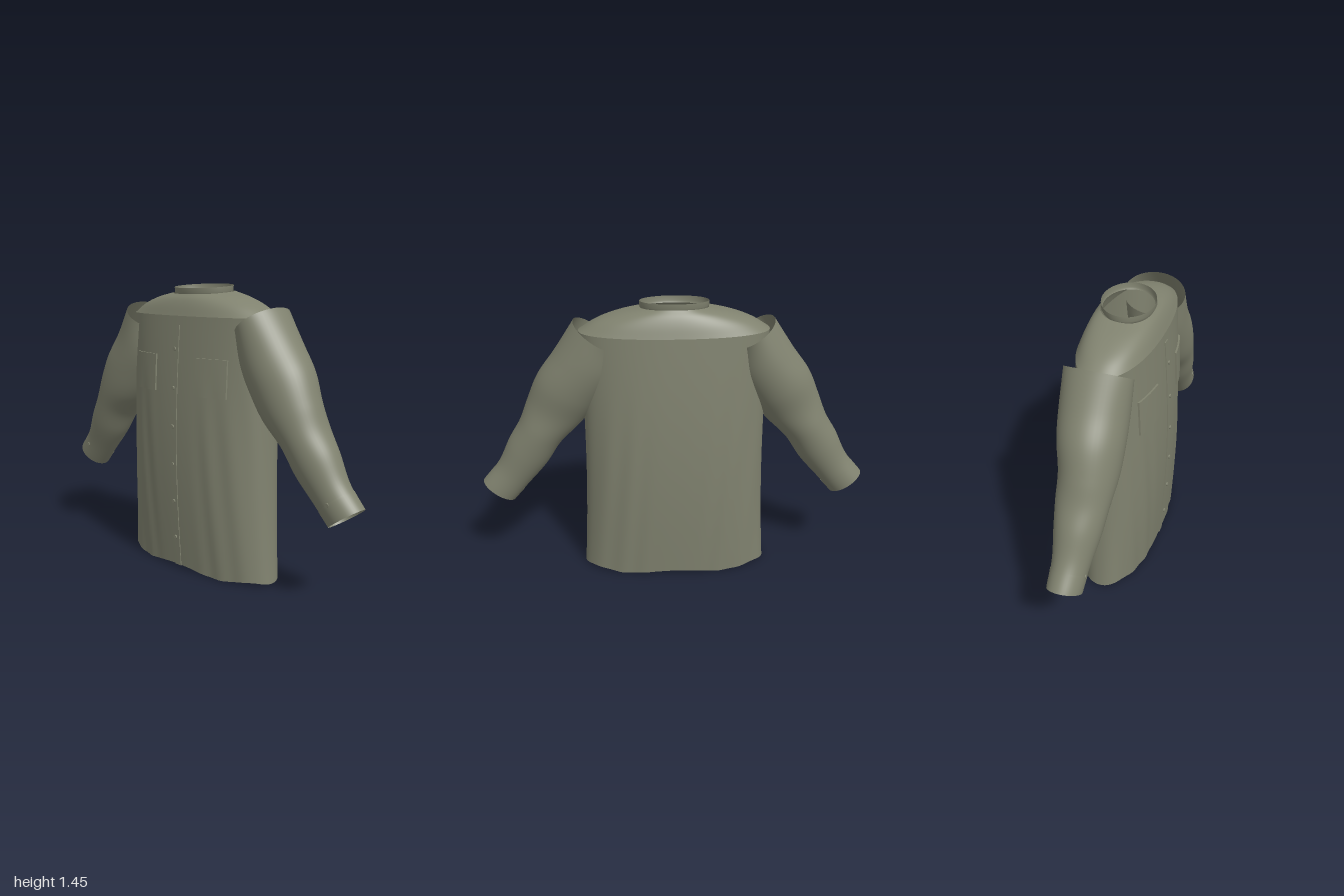
import * as THREE from 'three';

const SEAM = 1.3; // height where the yoke meets the body
const fabric = new THREE.MeshStandardMaterial({ color: 0x80826f, side: THREE.DoubleSide });
fabric.name = 'olive fabric';

// Skin closed rings of points into an open tube with smooth normals
function loft(rings, flip = false) {
  const n = rings[0].length, pos = [], idx = [];
  rings.forEach(r => r.forEach(p => pos.push(p.x, p.y, p.z)));
  for (let i = 0; i < rings.length - 1; i++) {
    for (let j = 0; j < n; j++) {
      const k = (j + 1) % n;
      const a = i * n + j, b = i * n + k, c = a + n, d = b + n;
      if (flip) idx.push(a, b, c, b, d, c);
      else idx.push(a, c, b, b, c, d);
    }
  }
  const g = new THREE.BufferGeometry();
  g.setAttribute('position', new THREE.Float32BufferAttribute(pos, 3));
  g.setIndex(idx);
  g.computeVertexNormals();
  return g;
}

function ring(n, fn) {
  return Array.from({ length: n }, (_, j) => fn((j / n) * Math.PI * 2));
}

// Body size at a given height
const bulge = y => Math.sin(Math.PI * THREE.MathUtils.clamp(y / SEAM, 0, 1));
const halfWidth = y => 0.455 + 0.03 * (1 - y / 0.8) ** 2;
const depth = (y, front) => front ? 0.175 + 0.03 * bulge(y) : 0.185 + 0.027 * bulge(y);
const POWER = 2 / 2.3;
const spow = v => Math.sign(v) * Math.abs(v) ** POWER;

// Soft hanging folds, strongest low down and away from the middle
function fold(x, y) {
  const side = THREE.MathUtils.smoothstep(Math.abs(x), 0.08, 0.25);
  const low = 1 - THREE.MathUtils.smoothstep(y, 0.6, 1.15);
  return 0.004 * side * low * Math.sin(50 * x + 5 * y);
}

// Depth of the front surface, used to lay details on it
function frontZ(x, y) {
  const u = Math.min(1, Math.abs(x) / halfWidth(y));
  return depth(y, true) * (1 - u ** 2.3) ** (1 / 2.3) + fold(x, y);
}

// Thin plate bent to follow the chest
function plate(x0, x1, y0, y1, lift) {
  const g = new THREE.BoxGeometry(x1 - x0, y1 - y0, 0.009, 8, 24, 1);
  g.translate((x0 + x1) / 2, (y0 + y1) / 2, lift);
  const p = g.attributes.position;
  for (let i = 0; i < p.count; i++) p.setZ(i, p.getZ(i) + frontZ(p.getX(i), p.getY(i)));
  g.computeVertexNormals();
  return g;
}

export function createModel() {
  const model = new THREE.Group();
  model.name = 'shirt';
  const add = (name, geometry, parent = model) => {
    const m = new THREE.Mesh(geometry, fabric);
    m.name = name;
    parent.add(m);
    return m;
  };

  // Torso with a gently wavy hem
  const N = 128, ROWS = 40, torso = [];
  for (let i = 0; i <= ROWS; i++) {
    const t = i / ROWS;
    torso.push(ring(N, a => {
      const hem = 0.012 - 0.01 * Math.cos(a * 6) * (1 - 0.4 * Math.abs(Math.cos(a)));
      const y = THREE.MathUtils.lerp(hem, SEAM, t);
      const x = halfWidth(y) * spow(Math.cos(a));
      const z = depth(y, Math.sin(a) > 0) * spow(Math.sin(a)) + Math.sin(a) * fold(x, y);
      return new THREE.Vector3(x, y, z);
    }));
  }
  add('torso', loft(torso));

  // Shoulder yoke: [y, half width, front depth, back depth], closing in on the neck
  const yokeProfile = [
    [1.3, halfWidth(SEAM), 0.175, 0.185],
    [1.35, 0.385, 0.158, 0.168],
    [1.387, 0.285, 0.14, 0.15],
    [1.413, 0.168, 0.118, 0.128],
  ];
  const widths = new THREE.CatmullRomCurve3(yokeProfile.map(p => new THREE.Vector3(p[1], p[0], 0)));
  const depths = new THREE.CatmullRomCurve3(yokeProfile.map(p => new THREE.Vector3(p[2], p[3], 0)));
  const yoke = [];
  for (let i = 0; i <= 14; i++) {
    const t = i / 14, w = widths.getPoint(t), d = depths.getPoint(t);
    yoke.push(ring(N, a => {
      const s = Math.sin(a);
      return new THREE.Vector3(w.x * spow(Math.cos(a)), w.y - 0.01 * t * s, (s > 0 ? d.x : d.y) * spow(s));
    }));
  }
  add('shoulderYoke', loft(yoke));

  // Collar band, lower at the front
  const collar = [[1.408, 0.163, 0.119], [1.418, 0.168, 0.124], [1.442, 0.168, 0.125]];
  add('collar', loft(collar.map(([y, rx, rz]) => ring(64, a => new THREE.Vector3(
    rx * Math.cos(a), y - 0.01 * Math.sin(a), rz * Math.sin(a) - 0.005)))));

  // Sleeve outline: [upper x, upper y, lower x, lower y, front z, back z]
  const sections = [
    [0.49, 1.35, 0.295, 1.21, 0.155, -0.17],
    [0.59, 1.2, 0.31, 1.07, 0.156, -0.168],
    [0.68, 1.075, 0.39, 0.925, 0.16, -0.15],
    [0.74, 0.94, 0.47, 0.82, 0.155, -0.12],
    [0.785, 0.83, 0.58, 0.71, 0.14, -0.11],
    [0.845, 0.73, 0.66, 0.59, 0.125, -0.095],
    [0.91, 0.6, 0.765, 0.47, 0.1, -0.075],
    [0.995, 0.495, 0.84, 0.385, 0.09, -0.07],
  ];
  const upper = new THREE.CatmullRomCurve3(sections.map(s => new THREE.Vector3(s[0], s[1], s[4])));
  const lower = new THREE.CatmullRomCurve3(sections.map(s => new THREE.Vector3(s[2], s[3], s[5])));
  const sleeveRing = (t, side, grow) => {
    const u = upper.getPoint(t), l = lower.getPoint(t);
    return ring(48, a => {
      const c = Math.cos(a) * grow / 2, s = Math.sin(a) * grow / 2;
      return new THREE.Vector3(
        side * ((u.x + l.x) / 2 + (u.x - l.x) * c),
        (u.y + l.y) / 2 + (u.y - l.y) * c,
        (u.z + l.z) / 2 + (u.z - l.z) * s);
    });
  };
  const span = (t0, t1, n, side, grow) => loft(
    Array.from({ length: n + 1 }, (_, i) => sleeveRing(t0 + (t1 - t0) * i / n, side, grow)), side > 0);

  const button = new THREE.CylinderGeometry(0.01, 0.01, 0.007, 16).rotateX(Math.PI / 2);
  for (const side of [1, -1]) {
    const arm = new THREE.Group();
    arm.name = side > 0 ? 'leftSleeve' : 'rightSleeve';
    model.add(arm);
    add('sleeve', span(0, 0.92, 48, side, 1), arm);
    add('cuff', span(0.9, 1, 8, side, 1.02), arm);
    add('cuffButton', button, arm).position.set(side * 0.87, 0.51, 0.097);
    // Chest pocket
    const x = side * 0.231;
    add(side > 0 ? 'leftPocket' : 'rightPocket', plate(x - 0.088, x + 0.088, 0.92, 1.105, 0.005));
  }

  // Button placket and its buttons
  add('placket', plate(-0.02, 0.02, 0.02, 1.255, 0));
  for (let i = 0; i < 6; i++) {
    const y = 0.175 + i * 0.193;
    add('button', button).position.set(0, y, frontZ(0, y) + 0.012);
  }
  return model;
}
